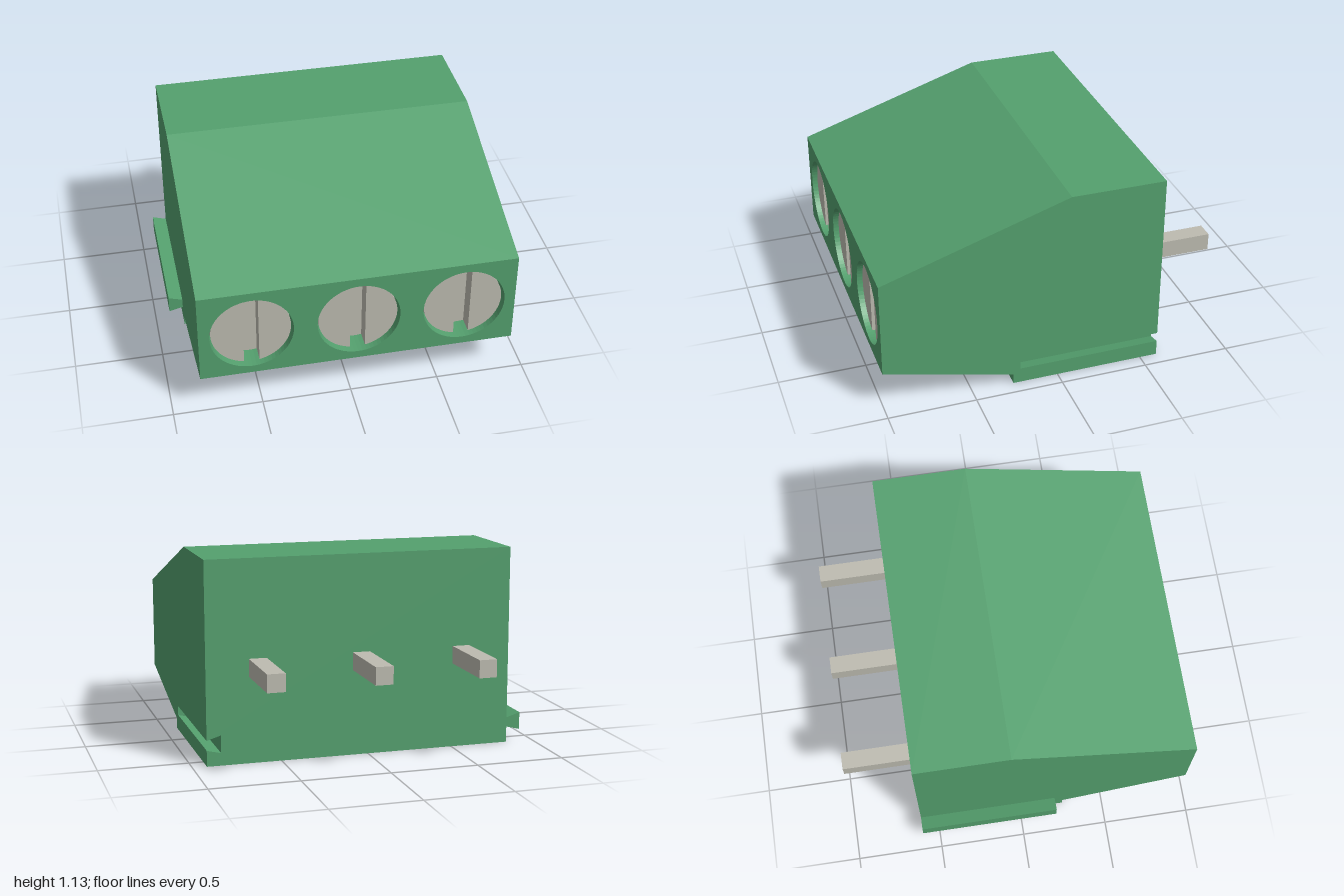
import * as THREE from 'three';

const green = new THREE.MeshStandardMaterial({ color: 0x54a06e });
green.name = 'green plastic';
const metal = new THREE.MeshStandardMaterial({ color: 0xbdbbb0 });
metal.name = 'pale metal';

const V = (x, y, z) => new THREE.Vector3(x, y, z);
const poles = [-0.55, 0.04, 0.63];
const L = -0.84, R = 0.92, BACK = -0.6;

function add(parent, name, geometry, material) {
  const mesh = new THREE.Mesh(geometry, material);
  mesh.name = name;
  parent.add(mesh);
  return mesh;
}

// Flat panel: 2D outline and holes, laid on a plane through origin along u and v
function panel(outline, holes, u, v, origin) {
  const shape = new THREE.Shape(outline.map(p => new THREE.Vector2(...p)));
  holes.forEach(h => shape.holes.push(new THREE.Path(h.map(p => new THREE.Vector2(...p)))));
  const m = new THREE.Matrix4().makeBasis(u, v, u.clone().cross(v)).setPosition(origin);
  return new THREE.ShapeGeometry(shape).applyMatrix4(m);
}

// Flat-shaded quads between two matching rows of points
function walls(a, b, closed = true) {
  const points = [];
  const n = closed ? a.length : a.length - 1;
  for (let i = 0; i < n; i++) {
    const j = (i + 1) % a.length;
    points.push(a[i], a[j], b[j], a[i], b[j], b[i]);
  }
  const g = new THREE.BufferGeometry().setFromPoints(points);
  g.computeVertexNormals();
  return g;
}

const rect = (cx, cy, w, h) =>
  [[cx - w, cy - h], [cx + w, cy - h], [cx + w, cy + h], [cx - w, cy + h]];

function circle(cx, cy, r, n = 64) {
  return Array.from({ length: n }, (_, i) => {
    const a = i / n * Math.PI * 2;
    return [cx + r * Math.cos(a), cy + r * Math.sin(a)];
  });
}

function makeHousing() {
  const body = new THREE.Group();
  body.name = 'housing';
  const X = V(1, 0, 0), Y = V(0, 1, 0), Z = V(0, 0, 1);

  // Side profile as [z, y]
  const profile = [[BACK, 0], [0.26, 0], [0.26, 0.06], [1, 0.235],
    [1, 0.79], [-0.06, 1.135], [BACK, 1.135]];
  add(body, 'rightSide', panel(profile, [], Z, Y, V(L, 0, 0)), green);
  const notched = [...profile, [BACK, 0.145], [0.22, 0.145], [0.22, 0.09], [BACK, 0.09]];
  add(body, 'leftSide',
    panel(notched.map(([z, y]) => [-z, y]), [], Z.clone().negate(), Y, V(R, 0, 0)), green);

  // Step, lower slope and roof
  const strip = pts => walls(pts.map(([z, y]) => V(R, y, z)), pts.map(([z, y]) => V(L, y, z)), false);
  add(body, 'lowerSlope', strip(profile.slice(1, 4)), green);
  add(body, 'roof', strip(profile.slice(4)), green);

  // Front with round screw holes
  const rings = poles.map(x => circle(x, 0.51, 0.23));
  add(body, 'front',
    panel([[L, 0.235], [R, 0.235], [R, 0.79], [L, 0.79]], rings, X, Y, V(0, 0, 1)), green);
  rings.forEach(ring => add(body, 'screwHole',
    walls(ring.map(([x, y]) => V(x, y, 1)), ring.map(([x, y]) => V(x, y, 0.84))), green));

  // Back with the dovetail groove's open end
  const groove = [[R, 0.09], [0.84, 0.07], [0.84, 0.17], [R, 0.145]];
  const back = [[L, 0], [R, 0], ...groove, [R, 1.135], [L, 1.135]];
  add(body, 'back',
    panel(back.map(([x, y]) => [-x, y]), [], X.clone().negate(), Y, V(0, 0, BACK)), green);
  add(body, 'grooveWalls', walls(groove.map(([x, y]) => V(x, y, BACK)),
    groove.map(([x, y]) => V(x, y, 0.22)), false), green);
  add(body, 'grooveEnd',
    panel(groove.map(([x, y]) => [-x, y]), [], X.clone().negate(), Y, V(0, 0, 0.22)), green);

  // Underside with funnel openings leading into square shafts
  const cz = -0.17, mouth = poles.map(x => rect(x, cz, 0.2, 0.3));
  add(body, 'underside',
    panel([[L, BACK], [R, BACK], [R, 0.26], [L, 0.26]], mouth, X, Z, V(0, 0, 0)), green);
  poles.forEach((x, i) => {
    const at = (loop, y) => loop.map(([px, pz]) => V(px, y, pz));
    const throat = rect(x, cz, 0.12, 0.15);
    add(body, 'wireFunnel', walls(at(mouth[i], 0), at(throat, 0.09)), green);
    add(body, 'wireShaft', walls(at(throat, 0.09), at(throat, 0.42)), green);
    add(body, 'shaftEnd', panel(throat, [], X, Z, V(0, 0.42, 0)), green);
  });

  // Dovetail rail
  const rail = new THREE.Shape([[-0.92, 0.07], [L, 0.09], [L, 0.145], [-0.92, 0.17]]
    .map(p => new THREE.Vector2(...p)));
  add(body, 'dovetailRail',
    new THREE.ExtrudeGeometry(rail, { depth: 0.81, bevelEnabled: false }), green).position.z = BACK;
  return body;
}

// Slotted screw: base disc with two raised half segments
function makeScrew() {
  const screw = new THREE.Group();
  screw.name = 'screw';
  const r = 0.22, a = Math.acos(0.0425 / r);
  const base = add(screw, 'screwBase', new THREE.CylinderGeometry(r, r, 0.08, 64), metal);
  base.rotation.x = Math.PI / 2;
  base.position.z = 0.84;
  const half = new THREE.Shape();
  half.absarc(0, 0, r, -a, a, false);
  const geometry = new THREE.ExtrudeGeometry(half,
    { depth: 0.09, bevelEnabled: false, curveSegments: 32 });
  for (const turn of [0, Math.PI]) {
    const mesh = add(screw, 'screwHeadHalf', geometry, metal);
    mesh.position.z = 0.88;
    mesh.rotation.z = turn;
  }
  return screw;
}

export function createModel() {
  const model = new THREE.Group();
  model.name = 'terminalBlock';
  model.add(makeHousing());
  for (const x of poles) {
    const screw = makeScrew();
    screw.position.set(x, 0.51, 0);
    model.add(screw);
    add(model, 'pin', new THREE.BoxGeometry(0.1, 0.1, 0.4), metal).position.set(x, 0.535, -0.8);
  }
  return model;
}
